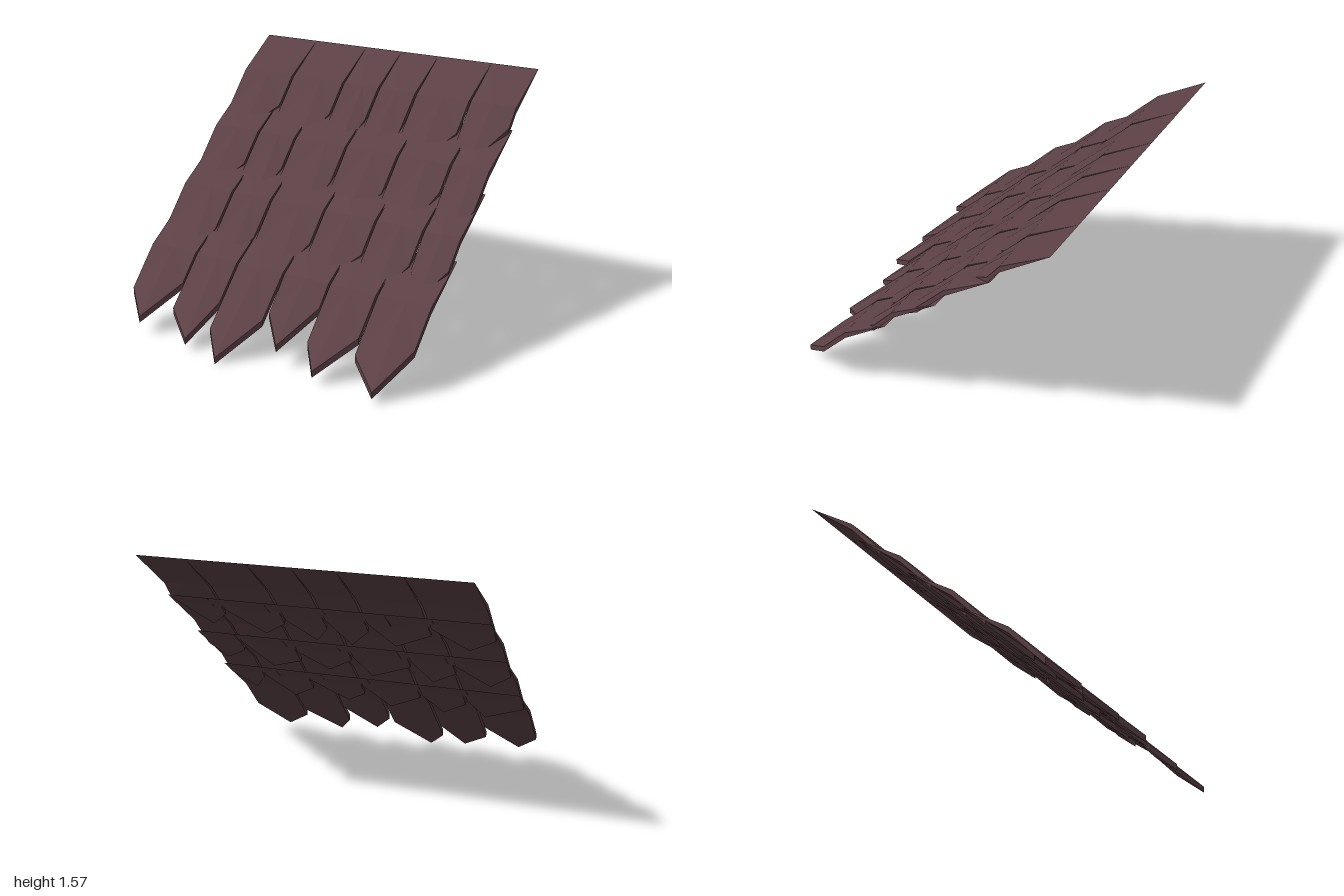
import * as THREE from 'three';

const SLOPE = 0.8717, RIDGE_Y = 1.575, RIDGE_Z = -0.903, PITCH = 0.353;

// One row: joints across the width, then per shingle
// [left side length, tip x, tip length, right side length], lengths measured along z
const ROWS = [
  { joints: [-1, -0.613, -0.223, 0.042, 0.31, 0.685, 1],
    ends: [[0.51, -0.8, 0.63, 0.45], [0.52, -0.34, 0.66, 0.455], [0.54, -0.05, 0.69, 0.46],
      [0.55, 0.17, 0.68, 0.5], [0.54, 0.5, 0.66, 0.45], [0.5, 0.83, 0.61, 0.38]] },
  { joints: [-1, -0.652, -0.37, 0.01, 0.38, 0.742, 1],
    ends: [[0.51, -0.83, 0.64, 0.46], [0.54, -0.46, 0.66, 0.45], [0.52, -0.06, 0.665, 0.47],
      [0.51, 0.22, 0.64, 0.48], [0.58, 0.62, 0.67, 0.42], [0.52, 0.92, 0.62, 0.48]] },
  { joints: [-1, -0.617, -0.322, 0.068, 0.43, 0.752, 1],
    ends: [[0.51, -0.7, 0.66, 0.48], [0.53, -0.42, 0.66, 0.48], [0.51, -0.06, 0.66, 0.45],
      [0.54, 0.23, 0.64, 0.45], [0.54, 0.62, 0.66, 0.45], [0.47, 0.88, 0.6, 0.44]] },
  { joints: [-1, -0.65, -0.335, 0, 0.322, 0.643, 1],
    ends: [[0.515, -0.84, 0.65, 0.435], [0.565, -0.455, 0.695, 0.485], [0.615, -0.2, 0.745, 0.515],
      [0.475, 0.15, 0.615, 0.395], [0.56, 0.44, 0.685, 0.485], [0.565, 0.845, 0.705, 0.48]] },
];

// Bowed wedge with a pointed lower end; points are [x, z, underside lift, thickness]
function shingleGeometry(x0, x1, [left, tipX, tip, right], zTop) {
  const bow = 0.3, lift = 0.038, thick = 0.04, gap = 0.011;
  const ring = [
    [x0, 0, 0, 0],
    [x0 + gap * 0.6, bow, lift, thick],
    [x0 + gap, left, 0, thick],
    [tipX, tip, 0, thick],
    [x1 - gap, right, 0, thick],
    [x1 - gap * 0.6, bow, lift, thick],
    [x1, 0, 0, 0],
  ];
  const centre = [(x0 + x1) / 2 * 0.7 + tipX * 0.3, bow, lift + 0.006, thick];
  const place = ([x, d, h, t], upper) => {
    const z = zTop + d;
    return [x, RIDGE_Y - SLOPE * (z - RIDGE_Z) + h + (upper ? t : 0), z];
  };
  const pos = [];
  const tri = (...pts) => pts.forEach((p) => pos.push(...p));
  ring.forEach((a, i) => {
    const b = ring[(i + 1) % ring.length];
    // upper and lower faces fan out from the raised centre
    tri(place(centre, true), place(a, true), place(b, true));
    tri(place(centre, false), place(b, false), place(a, false));
    // cut edges; the top edge is a knife edge and needs none
    if (i < ring.length - 1) {
      if (a[3] > 0) tri(place(a, true), place(a, false), place(b, false));
      if (b[3] > 0) tri(place(a, true), place(b, false), place(b, true));
    }
  });
  const geometry = new THREE.BufferGeometry();
  geometry.setAttribute('position', new THREE.Float32BufferAttribute(pos, 3));
  geometry.computeVertexNormals();
  return geometry;
}

export function createModel() {
  const model = new THREE.Group();
  model.name = 'shingleRoofPanel';
  const slate = new THREE.MeshStandardMaterial({ color: 0x5c4146, flatShading: true });
  slate.name = 'dark plum slate';

  // Overlapping courses from the ridge down to the eave
  ROWS.forEach(({ joints, ends }, r) => {
    const course = new THREE.Group();
    course.name = `shingleCourse${r + 1}`;
    ends.forEach((end, i) => {
      const shingle = new THREE.Mesh(
        shingleGeometry(joints[i], joints[i + 1], end, RIDGE_Z + r * PITCH), slate);
      shingle.name = `shingle${i + 1}`;
      course.add(shingle);
    });
    model.add(course);
  });
  return model;
}
